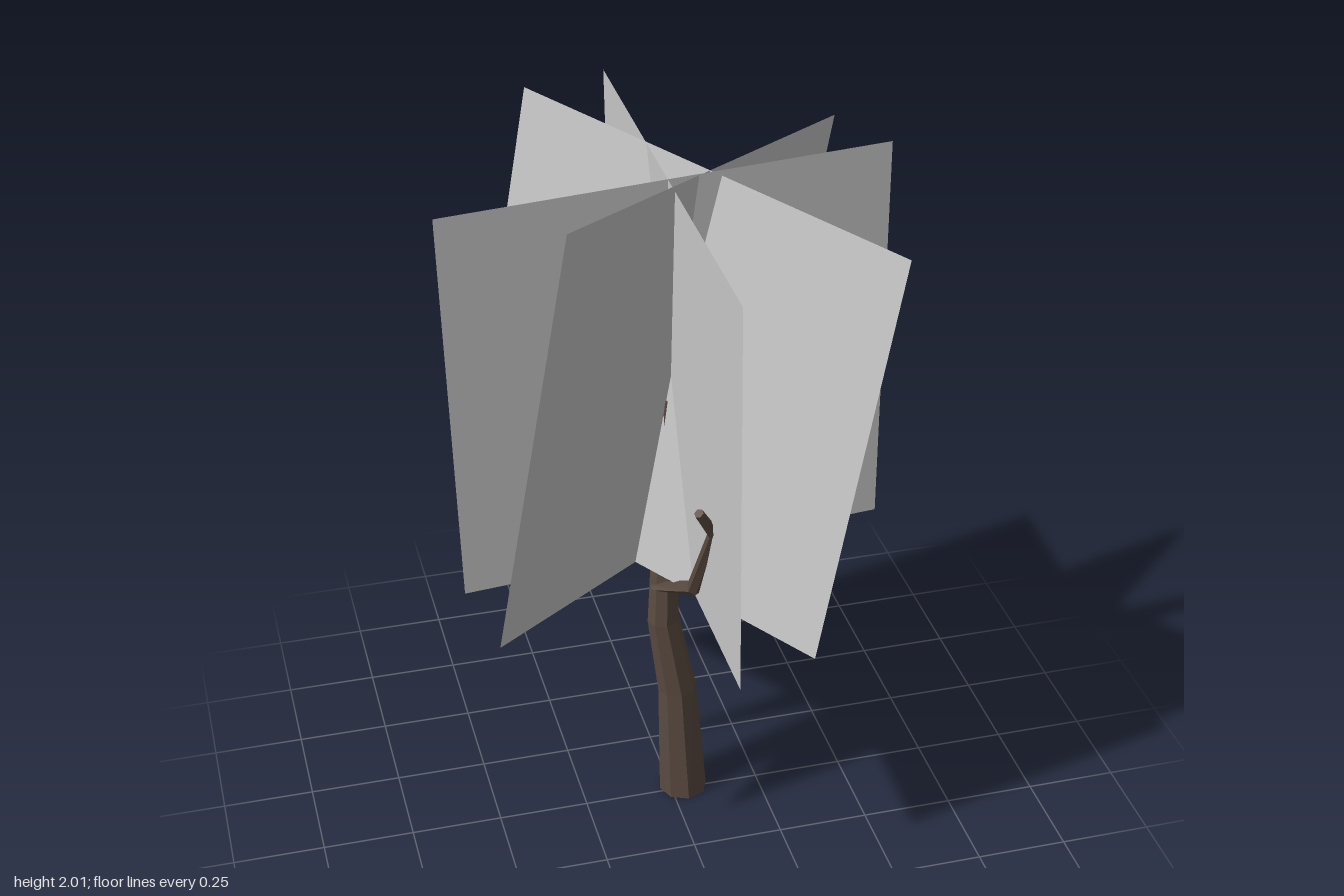
import * as THREE from 'three';

const bark = new THREE.MeshStandardMaterial({ color: 0x5b4b41, flatShading: true });
const leaf = new THREE.MeshStandardMaterial({ color: 0xcccccc, side: THREE.DoubleSide });
const V = (p) => new THREE.Vector3(p[0], p[1], p[2]);

// Tapered limb: a capped cylinder whose rings follow [x, y, z, radius] stations
function limb(name, stations, sides) {
  const rows = stations.length - 1;
  const geo = new THREE.CylinderGeometry(1, 1, rows, sides, rows);
  const pts = stations.map(V);
  const up = new THREE.Vector3(0, 1, 0);
  const turns = pts.map((p, i) => {
    const dir = pts[Math.min(i + 1, rows)].clone().sub(pts[Math.max(i - 1, 0)]).normalize();
    return new THREE.Quaternion().setFromUnitVectors(up, dir);
  });
  turns[0].identity();
  const pos = geo.attributes.position;
  const v = new THREE.Vector3();
  for (let k = 0; k < pos.count; k++) {
    const i = Math.round(pos.getY(k) + rows / 2);
    const r = stations[i][3];
    v.set(pos.getX(k) * r, 0, pos.getZ(k) * r).applyQuaternion(turns[i]).add(pts[i]);
    pos.setXYZ(k, v.x, v.y, v.z);
  }
  geo.computeVertexNormals();
  const mesh = new THREE.Mesh(geo, bark);
  mesh.name = name;
  return mesh;
}

// Square foliage card from its centre, its width direction and its height direction
function card(name, across, upward) {
  const x = V(across).normalize();
  const z = x.clone().cross(V(upward)).normalize();
  const y = z.clone().cross(x);
  const mesh = new THREE.Mesh(new THREE.PlaneGeometry(1.165, 1.165), leaf);
  mesh.quaternion.setFromRotationMatrix(new THREE.Matrix4().makeBasis(x, y, z));
  mesh.position.set(-0.002, 1.364, -0.001);
  mesh.name = name;
  return mesh;
}

export function createModel() {
  const tree = new THREE.Group();
  tree.name = 'tree';

  // Trunk, leaning and tapering into the crown
  tree.add(limb('trunk', [
    [0.037, 0, -0.015, 0.068],
    [0.018, 0.36, -0.012, 0.054],
    [-0.022, 0.6, -0.01, 0.044],
    [-0.018, 0.78, -0.01, 0.039],
    [-0.008, 1.05, -0.012, 0.027],
    [-0.006, 1.29, -0.014, 0.016],
  ], 8));

  // Side branches
  tree.add(limb('frontBranch', [
    [-0.04, 0.72, 0.01, 0.024],
    [0.018, 0.81, 0.165, 0.021],
    [0.03, 1.07, 0.31, 0.017],
    [-0.02, 1.16, 0.342, 0.013],
  ], 6));
  tree.add(limb('backBranch', [
    [0, 0.88, -0.01, 0.024],
    [0.015, 0.925, -0.09, 0.021],
    [0.015, 0.96, -0.17, 0.019],
    [0.008, 1.09, -0.25, 0.017],
    [0.005, 1.22, -0.31, 0.014],
  ], 6));

  // Four crossed foliage cards, each tilted a little
  const crown = new THREE.Group();
  crown.name = 'crown';
  crown.add(
    card('sideCard', [1.165, 0.05, -0.045], [-0.045, 1.16, 0.11]),
    card('depthCard', [0.045, -0.11, 1.16], [-0.045, 1.16, 0.105]),
    card('leftDiagonalCard', [0.735, -0.15, 0.89], [0.19, 1.15, 0.045]),
    card('rightDiagonalCard', [0.885, -0.12, -0.75], [0.19, 1.15, 0.04]),
  );
  tree.add(crown);
  return tree;
}
